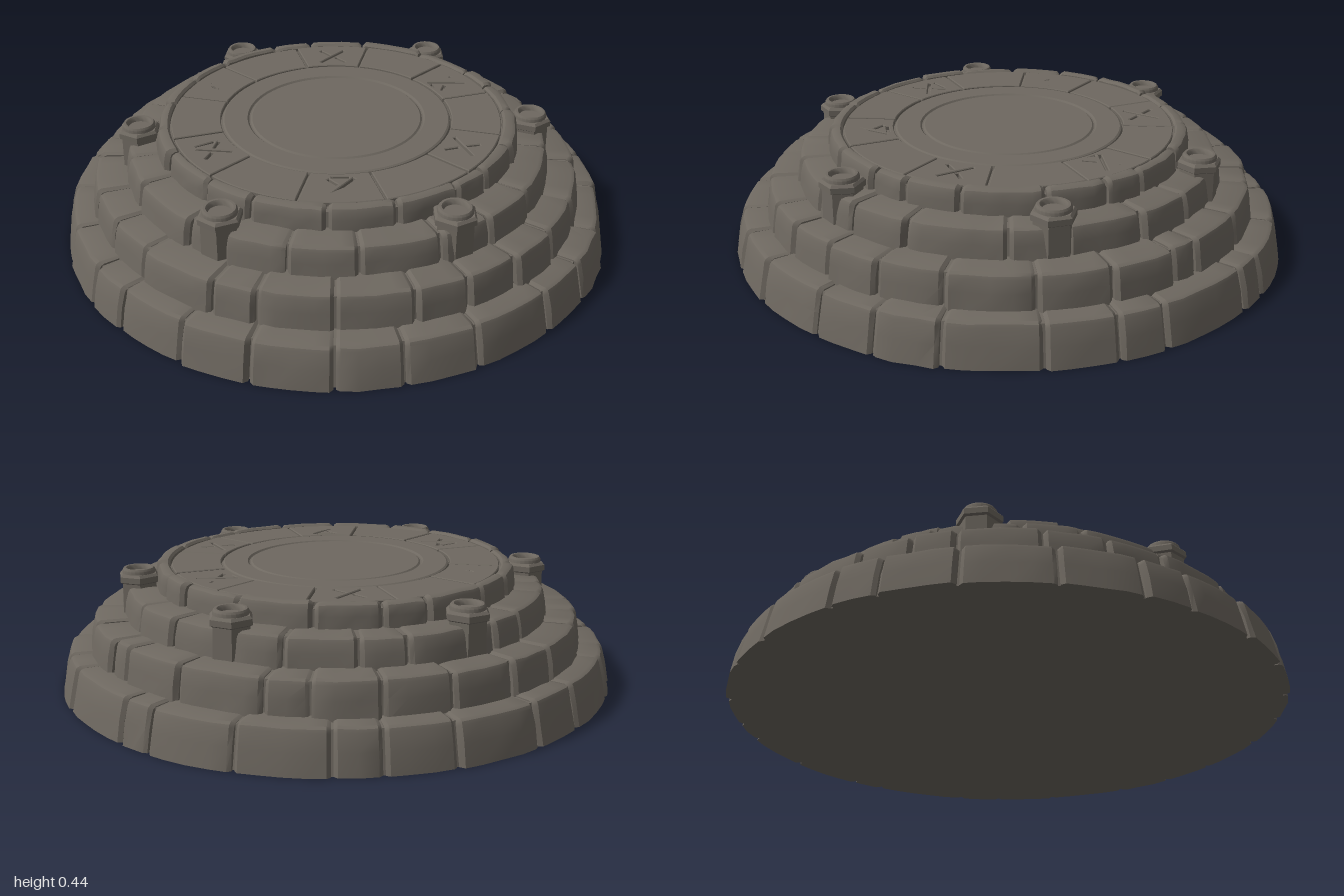
import * as THREE from 'three';
import { toCreasedNormals } from 'three/addons/utils/BufferGeometryUtils.js';

const stone = new THREE.MeshStandardMaterial({ color: 0x6e6860 });
stone.name = 'weatheredStone';

// Small seeded generator for the irregular masonry
let seed = 7;
const rand = () => {
  seed = (seed * 16807) % 2147483647;
  return seed / 2147483647;
};
const jitter = (amount) => (rand() - 0.5) * 2 * amount;
const rad = THREE.MathUtils.degToRad;

function part(geometry, name, crease = 0.55) {
  const mesh = new THREE.Mesh(toCreasedNormals(geometry, crease), stone);
  mesh.name = name;
  return mesh;
}

function lathe(points, segments = 72) {
  return new THREE.LatheGeometry(points.map(([r, y]) => new THREE.Vector2(r, y)), segments);
}

// One curved block: a bevelled cross-section swept from angle a0 to a1
function blockGeometry(a0, a1, t) {
  const span = a1 - a0;
  const gap = 0.004 / t.r0;
  const edge = 0.013 / t.r0;
  const angles = [a0 + gap, a0 + gap + edge];
  const inner = Math.max(2, Math.round(span / 0.075));
  for (let i = 1; i < inner; i++) angles.push(a0 + (span * i) / inner);
  angles.push(a1 - gap - edge, a1 - gap);
  const shift = -rand() * 0.012;
  const lift = jitter(0.003);
  const last = angles.length - 1;
  const pos = [];
  angles.forEach((a, i) => {
    const end = i === 0 || i === last;
    const s = end ? 0.011 : 0;
    const r = shift - s - rand() * 0.006;
    const top = t.y1 + lift - s * 0.6 + jitter(0.0015);
    const profile = [
      [t.rin, t.y0],
      [t.r0 + r, t.y0],
      [(t.r0 + t.r1) / 2 + r + jitter(0.003), (t.y0 + t.y1) / 2],
      [t.r1 + r, top - 0.016],
      [t.r1 + r - 0.005, top - 0.006],
      [t.r1 + r - 0.017, top],
      [t.rin + 0.008, top],
      [t.rin, top - 0.008],
    ];
    for (const [pr, py] of profile) pos.push(pr * Math.cos(a), py, pr * Math.sin(a));
  });
  const n = 8;
  const index = [];
  for (let i = 0; i < last; i++) {
    for (let j = 0; j < n; j++) {
      const p = i * n + j, q = i * n + ((j + 1) % n);
      index.push(p, q, p + n, q, q + n, p + n);
    }
  }
  for (let j = 1; j < n - 1; j++) {
    index.push(0, j + 1, j, last * n, last * n + j, last * n + j + 1);
  }
  const g = new THREE.BufferGeometry();
  g.setAttribute('position', new THREE.Float32BufferAttribute(pos, 3));
  g.setIndex(index);
  return g;
}

// A full ring of blocks of uneven width
function tier(t) {
  const group = new THREE.Group();
  group.name = t.name;
  const step = (Math.PI * 2) / t.count;
  const joints = [];
  for (let i = 0; i < t.count; i++) joints.push(i * step + jitter(step * 0.27));
  joints.push(joints[0] + Math.PI * 2);
  for (let i = 0; i < t.count; i++) {
    group.add(part(blockGeometry(joints[i], joints[i + 1], t), 'stoneBlock'));
  }
  return group;
}

// Carved signs as separate strokes [x1, y1, x2, y2], in units of the sign's half height
const signs = [
  [[-0.7, -1, 0.6, 1], [-0.6, 0.8, -0.2, 0.2], [0.2, -0.3, 0.7, -0.9], [-0.4, -1, 0.5, -1]],
  [[-0.8, -0.9, 0.7, 0.9], [-0.7, 0.8, -0.2, 0.2], [0.2, -0.2, 0.8, -0.8]],
  [[-0.8, -0.9, 0.6, 0.9], [-0.8, 0.7, -0.25, 0.15], [0.2, -0.2, 0.7, -0.8], [-0.5, -1, 0.5, -1]],
  [[-0.7, -0.9, 0.7, 0.9], [-0.7, 0.8, -0.2, 0.15], [0.2, -0.2, 0.8, -0.8], [0.9, -0.5, 0.9, 0.7]],
  [[-0.5, 0.1, -0.1, 0.8], [0.1, 0.8, 0.5, 0.1], [0.5, -0.1, 0.1, -0.8], [-0.1, -0.8, -0.5, -0.1]],
  [[-0.8, -0.9, 0.8, 0.9], [-0.8, 0.9, -0.2, 0.2], [0.2, -0.2, 0.8, -0.9]],
];

function strokeHole([x1, y1, x2, y2], angle, radius, size) {
  const len = Math.hypot(x2 - x1, y2 - y1);
  const nx = (-(y2 - y1) / len) * 0.09, ny = ((x2 - x1) / len) * 0.09;
  const corners = [[x1 + nx, y1 + ny], [x2 + nx, y2 + ny], [x2 - nx, y2 - ny], [x1 - nx, y1 - ny]];
  return new THREE.Path(corners.map(([x, y]) => new THREE.Vector2(radius + y * size, x * size)
    .rotateAround(new THREE.Vector2(), angle)));
}

// Paving slab of the top ring, optionally pierced by a sign
function slab(a0, a1, sign) {
  const shape = new THREE.Shape();
  const rIn = 0.416, rOut = 0.592;
  shape.absarc(0, 0, rOut, a0 + 0.007, a1 - 0.007, false);
  shape.absarc(0, 0, rIn, a1 - 0.01, a0 + 0.01, true);
  if (sign) {
    for (const s of sign) shape.holes.push(strokeHole(s, (a0 + a1) / 2, 0.495, 0.058));
  }
  const g = new THREE.ExtrudeGeometry(shape, {
    depth: 0.02, bevelEnabled: true, bevelThickness: 0.003, bevelSize: 0.003,
    bevelOffset: -0.003, bevelSegments: 1, curveSegments: 10,
  });
  g.rotateX(Math.PI / 2);
  g.translate(0, 0.4225 + jitter(0.001), 0);
  return part(g, sign ? 'carvedSlab' : 'plainSlab', 0.4);
}

// Six-sided post with a round socket on top
function post(angle) {
  const group = new THREE.Group();
  group.name = 'socketPost';
  group.add(part(lathe([[0, 0.25], [0.07, 0.25], [0.068, 0.365], [0.077, 0.37],
    [0.077, 0.39], [0.068, 0.399], [0, 0.399]], 6), 'postBody', 0.3));
  group.add(part(lathe([[0.06, 0.39], [0.058, 0.41], [0.053, 0.417], [0.045, 0.417],
    [0.04, 0.411], [0.037, 0.4], [0, 0.4]], 24), 'socketRim'));
  group.position.set(Math.cos(angle) * 0.71, 0, Math.sin(angle) * 0.71);
  group.rotation.y = -angle + jitter(0.2);
  return group;
}

export function createModel() {
  const model = new THREE.Group();
  model.name = 'roundStoneDais';

  // Solid core seen in the joints, with the grooved centre disc and flat underside
  model.add(part(lathe([
    [0, 0], [0.978, 0], [0.945, 0.136], [0.865, 0.138], [0.85, 0.25], [0.745, 0.252],
    [0.725, 0.347], [0.632, 0.349], [0.625, 0.41], [0.413, 0.41], [0.409, 0.421],
    [0.403, 0.425], [0.32, 0.425], [0.314, 0.419], [0.309, 0.419], [0.303, 0.424], [0, 0.424],
  ], 96), 'core', 0.3));

  // Stepped rings of masonry
  const tiers = [
    { name: 'bottomStep', y0: 0, y1: 0.146, r0: 1.004, r1: 0.975, rin: 0.85, count: 25 },
    { name: 'secondStep', y0: 0.137, y1: 0.26, r0: 0.897, r1: 0.88, rin: 0.72, count: 25 },
    { name: 'thirdStep', y0: 0.25, y1: 0.355, r0: 0.775, r1: 0.76, rin: 0.6, count: 21 },
    { name: 'topRim', y0: 0.347, y1: 0.432, r0: 0.658, r1: 0.65, rin: 0.598, count: 19 },
  ];
  for (const t of tiers) model.add(tier(t));

  // Paved ring: carved and plain slabs in turn
  const paving = new THREE.Group();
  paving.name = 'pavedRing';
  for (let i = 0; i < 6; i++) {
    const mid = rad(8 + i * 60);
    paving.add(slab(mid - rad(14), mid + rad(14), signs[i]));
    paving.add(slab(mid + rad(14), mid + rad(46)));
  }
  model.add(paving);

  // Socket posts on the third step
  for (const a of [-19.3, 36, 97.5, 161, 216.5, 277]) model.add(post(rad(a)));

  return model;
}
